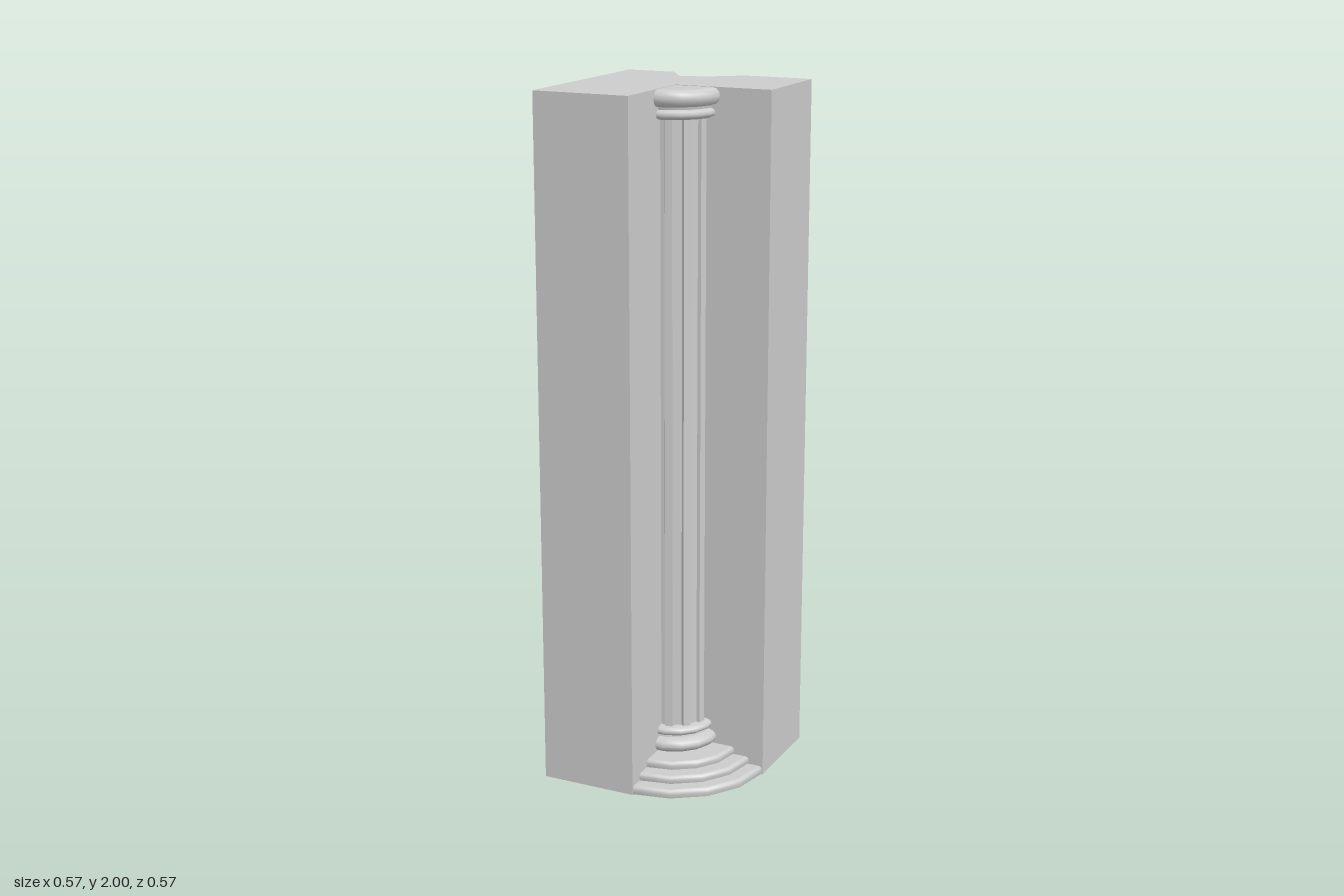
import * as THREE from 'three';
import { mergeGeometries } from 'three/addons/utils/BufferGeometryUtils.js';

const material = new THREE.MeshStandardMaterial({ color: 0xcccccc, side: THREE.DoubleSide });
const W = 0.285, H = 2;

function addMesh(group, name, geometry) {
  const mesh = new THREE.Mesh(geometry, material);
  mesh.name = name;
  group.add(mesh);
}

// Flat polygon from its 3D corners, facing the given outward direction
function panel(corners, outward) {
  const pts = corners.map((c) => new THREE.Vector3(...c));
  const out = new THREE.Vector3(...outward).normalize();
  const helper = Math.abs(out.y) > 0.9 ? new THREE.Vector3(1, 0, 0) : new THREE.Vector3(0, 1, 0);
  const u = helper.clone().cross(out).normalize();
  const v = out.clone().cross(u);
  const flat = pts.map((p) => new THREE.Vector2(p.dot(u), p.dot(v)));
  const ordered = [];
  for (const [a, b, c] of THREE.ShapeUtils.triangulateShape(flat, [])) {
    const n = pts[b].clone().sub(pts[a]).cross(pts[c].clone().sub(pts[a]));
    ordered.push(pts[a], ...(n.dot(out) < 0 ? [pts[c], pts[b]] : [pts[b], pts[c]]));
  }
  const geometry = new THREE.BufferGeometry().setFromPoints(ordered);
  geometry.computeVertexNormals();
  return geometry;
}

// Chips along the back corner: top and bottom on the edge,
// one point on the back face and one or two on the side face
const edge = (y) => [-W, y, -W];
const chips = [
  { low: 0.06, high: 0.33, back: [-0.2, 0.215, -W], side: [[-W, 0.2, -0.175]] },
  { low: 0.56, high: 1.01, back: [-0.12, 0.94, -W], side: [[-W, 0.655, -0.105], [-W, 0.717, -0.085]] },
  { low: 1.21, high: 1.275, back: [-0.225, 1.26, -W], side: [[-W, 1.253, -0.255]] },
];

// Chip broken out of the top of the back face
const topChip = [[-0.14, H, -W], [-0.083, H, -0.2], [0, H, -0.215], [0.03, H, -0.245], [0.085, H, -W]];
const topChipLow = [-0.1, 1.91, -W];

function blockGeometry() {
  const backEdge = chips.flatMap((c) => [edge(c.low), c.back, edge(c.high)]);
  const sideEdge = chips.flatMap((c) => [edge(c.low), ...c.side, edge(c.high)]);
  const faces = [
    // back, chipped side and top
    panel([[W, 0, -W], edge(0), ...backEdge, edge(H), topChip[0], topChipLow, topChip[4], [W, H, -W]], [0, 0, -1]),
    panel([[-W, 0, W], edge(0), ...sideEdge, edge(H), [-W, H, W]], [-1, 0, 0]),
    panel([edge(H), ...topChip, [W, H, -W], [W, H, 0], [0, H, 0], [0, H, W], [-W, H, W]], [0, 1, 0]),
  ];
  // plain upright walls, including the two walls of the recess
  const walls = [
    [[W, -W], [W, 0], [1, 0, 0]],
    [[W, 0], [0, 0], [0, 0, 1]],
    [[0, 0], [0, W], [1, 0, 0]],
    [[0, W], [-W, W], [0, 0, 1]],
  ];
  for (const [[x0, z0], [x1, z1], out] of walls) {
    faces.push(panel([[x0, 0, z0], [x1, 0, z1], [x1, H, z1], [x0, H, z0]], out));
  }
  // broken surfaces of the corner chips
  for (const { low, high, back, side } of chips) {
    faces.push(panel([back, edge(high), side[side.length - 1]], [-1, -0.7, -1]));
    const lower = [edge(low), ...side, back];
    for (let i = 1; i < lower.length - 1; i++) {
      faces.push(panel([lower[0], lower[i], lower[i + 1]], [-1, 0.5, -1]));
    }
  }
  // broken surfaces of the top chip
  for (let i = 0; i < 4; i++) {
    faces.push(panel([topChipLow, topChip[i], topChip[i + 1]], [i ? 0 : 0.8, 0.6, -1]));
  }
  return mergeGeometries(faces);
}

// Fluted quarter shaft: narrow ribs with shallow channels between them
function shaftGeometry(y0, y1) {
  const outline = [[0, 0.094]];
  for (const mid of [15, 45, 75]) {
    outline.push([mid - 8, 0.094], [mid - 6, 0.103], [mid + 6, 0.103], [mid + 8, 0.094]);
  }
  outline.push([90, 0.094]);
  const ring = outline.map(([deg, r]) => {
    const a = THREE.MathUtils.degToRad(deg);
    return [r * Math.sin(a), r * Math.cos(a)];
  });
  const strips = [];
  for (let i = 0; i < ring.length - 1; i++) {
    const [xa, za] = ring[i], [xb, zb] = ring[i + 1];
    strips.push(panel([[xa, y0, za], [xb, y0, zb], [xb, y1, zb], [xa, y1, za]], [za - zb, 0, xb - xa]));
  }
  return mergeGeometries(strips);
}

const lathe = (points, segments, start, sweep) =>
  new THREE.LatheGeometry(points.map((p) => new THREE.Vector2(...p)), segments, start, sweep);

// Rounded moulding that bulges from radius inner to outer
function bulge(inner, outer, y0, y1) {
  const points = [];
  for (let i = 0; i <= 6; i++) {
    const a = (i / 6 - 0.5) * Math.PI;
    points.push([inner + (outer - inner) * Math.cos(a), (y0 + y1) / 2 + ((y1 - y0) / 2) * Math.sin(a)]);
  }
  return lathe(points, 5, -Math.PI / 16, Math.PI * 0.625);
}

export function createModel() {
  const model = new THREE.Group();
  model.name = 'cornerPillar';
  addMesh(model, 'chippedBlock', blockGeometry());

  const column = new THREE.Group();
  column.name = 'quarterColumn';
  model.add(column);

  // stepped plinth with softened edges
  const steps = [[0.283, 0, 0.025], [0.24, 0.025, 0.047], [0.193, 0.047, 0.07]];
  steps.forEach(([r, y0, y1], i) => {
    const inner = i < 2 ? steps[i + 1][0] - 0.01 : 0.09;
    const nose = lathe([[r - 0.003, y0], [r, (y0 + y1) / 2], [r - 0.003, y1 - 0.004], [r - 0.01, y1]], 4, 0, Math.PI / 2);
    const tread = lathe([[r - 0.01, y1], [inner, y1]], 4, 0, Math.PI / 2);
    addMesh(column, 'plinthStep', mergeGeometries([nose, tread]));
  });

  // mouldings at the foot
  addMesh(column, 'lowerFootRing', bulge(0.11, 0.137, 0.07, 0.113));
  addMesh(column, 'footNeck', lathe([[0.112, 0.108], [0.108, 0.122]], 5, -Math.PI / 16, Math.PI * 0.625));
  addMesh(column, 'upperFootRing', bulge(0.1, 0.122, 0.117, 0.145));
  addMesh(column, 'footCollar', lathe([[0.104, 0.145], [0.09, 0.146]], 5, -Math.PI / 16, Math.PI * 0.625));

  addMesh(column, 'flutedShaft', shaftGeometry(0.14, 1.92));

  // mouldings at the head
  addMesh(column, 'lowerHeadRing', bulge(0.09, 0.124, 1.915, 1.947));
  addMesh(column, 'headNeck', lathe([[0.108, 1.94], [0.112, 1.96]], 5, -Math.PI / 16, Math.PI * 0.625));
  addMesh(column, 'upperHeadRing', bulge(0.115, 0.137, 1.952, 1.999));
  addMesh(column, 'headTop', lathe([[0.116, 1.999], [0, 1.999]], 5, -Math.PI / 16, Math.PI * 0.625));
  return model;
}
